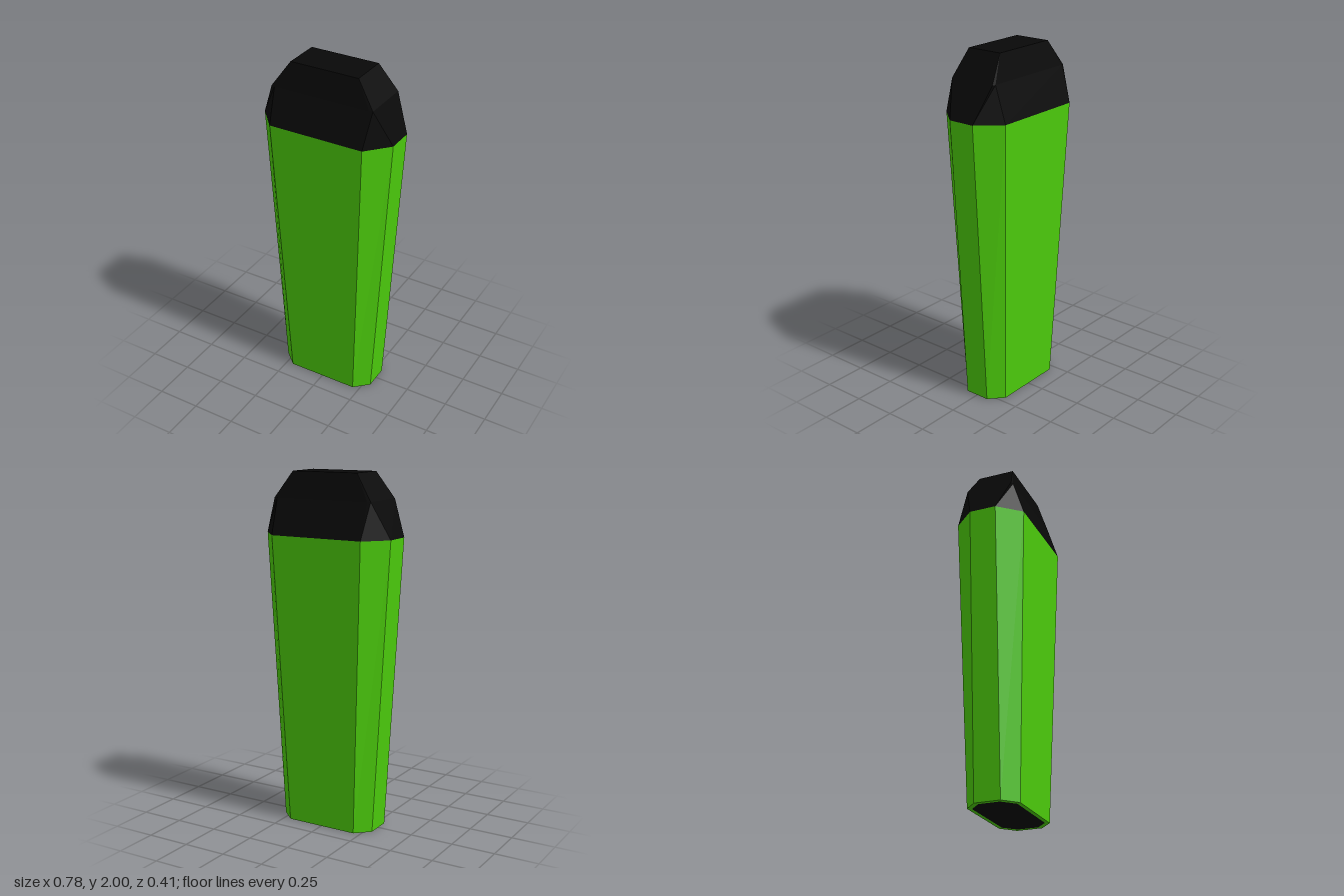
import * as THREE from 'three';

// Chamfered-rectangle ring: half width w, half depth d, chamfer corners at cx and cz
function ring(y, w, d, cx, cz) {
  return [[w, cz], [cx, d], [-cx, d], [-w, cz], [-w, -cz], [-cx, -d], [cx, -d], [w, -cz]]
    .map(([x, z]) => new THREE.Vector3(x, y, z));
}

// Faceted skin through rings listed in order, optionally closed at either end
function loft(rings, closeStart, closeEnd) {
  const pos = [];
  const tri = (a, b, c) => {
    if (a.equals(b) || b.equals(c) || c.equals(a)) return;
    for (const p of [a, b, c]) pos.push(p.x, p.y, p.z);
  };
  const n = rings[0].length;
  for (let r = 0; r < rings.length - 1; r++) {
    const lo = rings[r], hi = rings[r + 1];
    for (let i = 0; i < n; i++) {
      const j = (i + 1) % n;
      tri(lo[i], hi[i], lo[j]);
      tri(lo[j], hi[i], hi[j]);
    }
  }
  const first = rings[0], last = rings[rings.length - 1];
  for (let i = 1; i < n - 1; i++) {
    if (closeStart) tri(first[0], first[i], first[i + 1]);
    if (closeEnd) tri(last[0], last[i + 1], last[i]);
  }
  const geo = new THREE.BufferGeometry();
  geo.setAttribute('position', new THREE.Float32BufferAttribute(pos, 3));
  geo.computeVertexNormals();
  return geo;
}

export function createModel() {
  const group = new THREE.Group();
  const green = new THREE.MeshStandardMaterial({ color: 0x4ccc0c, flatShading: true });
  const black = new THREE.MeshStandardMaterial({ color: 0x080808, flatShading: true });
  const add = (name, geo, mat) => {
    const mesh = new THREE.Mesh(geo, mat);
    mesh.name = name;
    group.add(mesh);
  };

  const inset = ring(0, 0.265, 0.125, 0.195, 0.06);
  const rim = ring(1.655, 0.39, 0.203, 0.277, 0.077);

  // Tapered body with a narrow flat lip underneath
  add('body', loft([inset, ring(0, 0.29, 0.147, 0.21, 0.073), rim], false, false), green);

  // Dark plate filling the lip
  add('basePlate', loft([inset], true, false), black);

  // Two-step faceted cap
  add('cap', loft([
    rim,
    ring(1.855, 0.3, 0.14, 0.28, 0.136),
    ring(2, 0.2, 0.105, 0.2, 0.105),
  ], true, true), black);

  return group;
}
